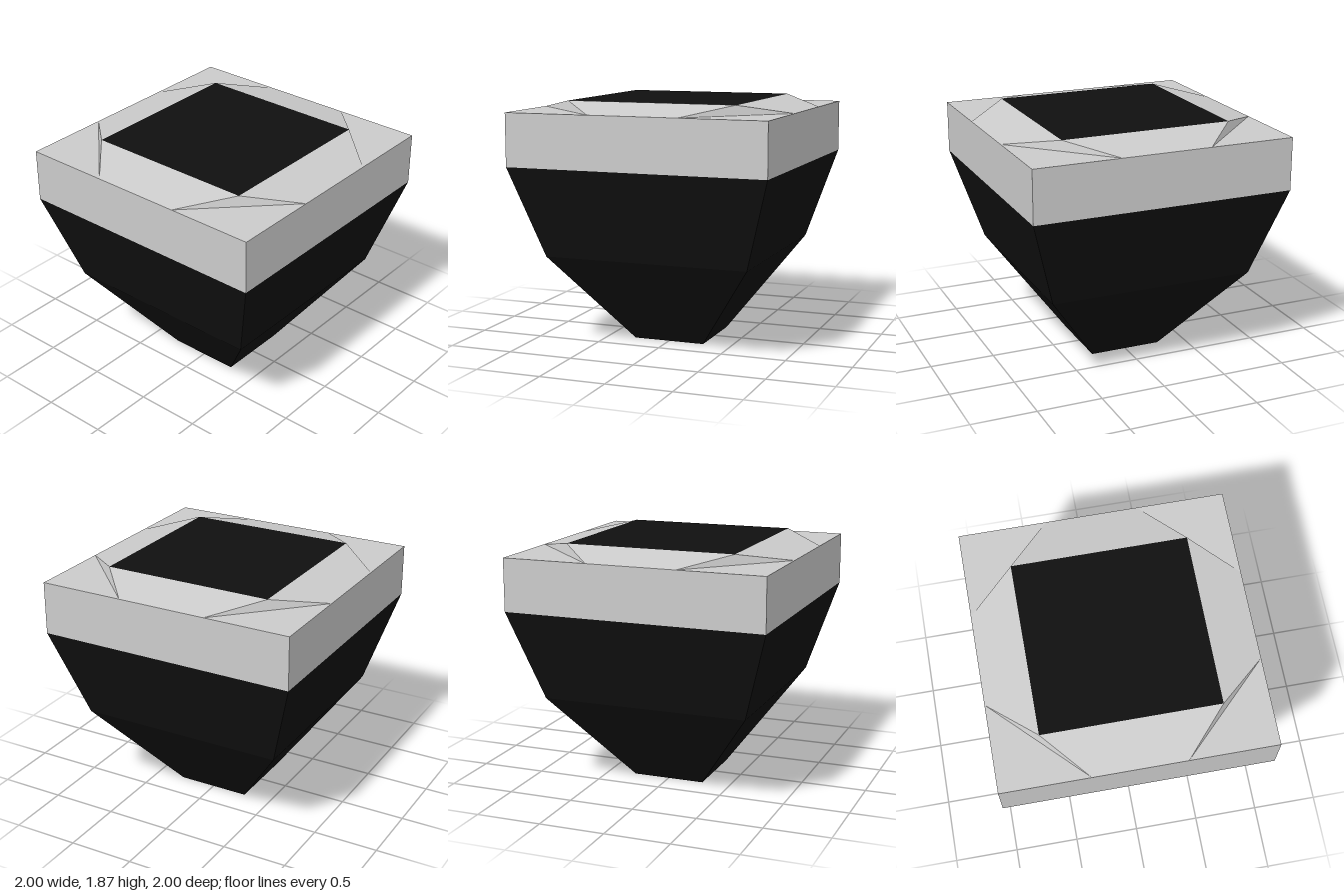
import * as THREE from 'three';

const grey = new THREE.MeshStandardMaterial({ color: 0xcccccc, flatShading: true });
const black = new THREE.MeshStandardMaterial({ color: 0x101010, flatShading: true });

const BAND_BOTTOM = 1.396, BAND_TOP = 1.797, TOP = 1.87;
const INNER = 0.655; // half width of the top panel
const FACET = 0.343; // half width of a bevel facet at the outer edge

function add(group, name, geometry, material) {
  const mesh = new THREE.Mesh(geometry, material);
  mesh.name = name;
  group.add(mesh);
  return mesh;
}

// Four-sided shell from [half width, height] pairs, bottom to top
function squareShell(profile) {
  const points = profile.map(([w, y]) => new THREE.Vector2(w * Math.SQRT2, y));
  return new THREE.LatheGeometry(points, 4, Math.PI / 4).toNonIndexed();
}

// One side of the bevelled rim: sloping facet, level corner and steep corner sliver
function rimSide() {
  const a = [-FACET, BAND_TOP, 1], b = [FACET, BAND_TOP, 1];
  const c = [INNER, TOP, INNER], d = [-INNER, TOP, INNER];
  const corner = [1, BAND_TOP, 1], e = [1, BAND_TOP, FACET];
  const triangles = [a, b, c, a, c, d, b, corner, e, b, e, c];
  const geometry = new THREE.BufferGeometry();
  geometry.setAttribute('position', new THREE.Float32BufferAttribute(triangles.flat(), 3));
  geometry.computeVertexNormals();
  return geometry;
}

export function createModel() {
  const model = new THREE.Group();
  model.name = 'taperedBlock';

  // Dark tapering underside with a flat foot
  add(model, 'taperedBody',
    squareShell([[0, 0], [0.28, 0], [0.79, 0.705], [1, BAND_BOTTOM]]), black);

  // Upright band around the widest part
  add(model, 'band', squareShell([[1, BAND_BOTTOM], [1, BAND_TOP]]), grey);

  // Bevelled rim, one side repeated four times
  const rim = new THREE.Group();
  rim.name = 'rim';
  const side = rimSide();
  for (let i = 0; i < 4; i++) {
    add(rim, 'rimSide', side, grey).rotation.y = i * Math.PI / 2;
  }
  model.add(rim);

  // Dark square top panel
  const panel = new THREE.PlaneGeometry(INNER * 2, INNER * 2).rotateX(-Math.PI / 2);
  add(model, 'topPanel', panel, black).position.y = TOP;

  return model;
}
